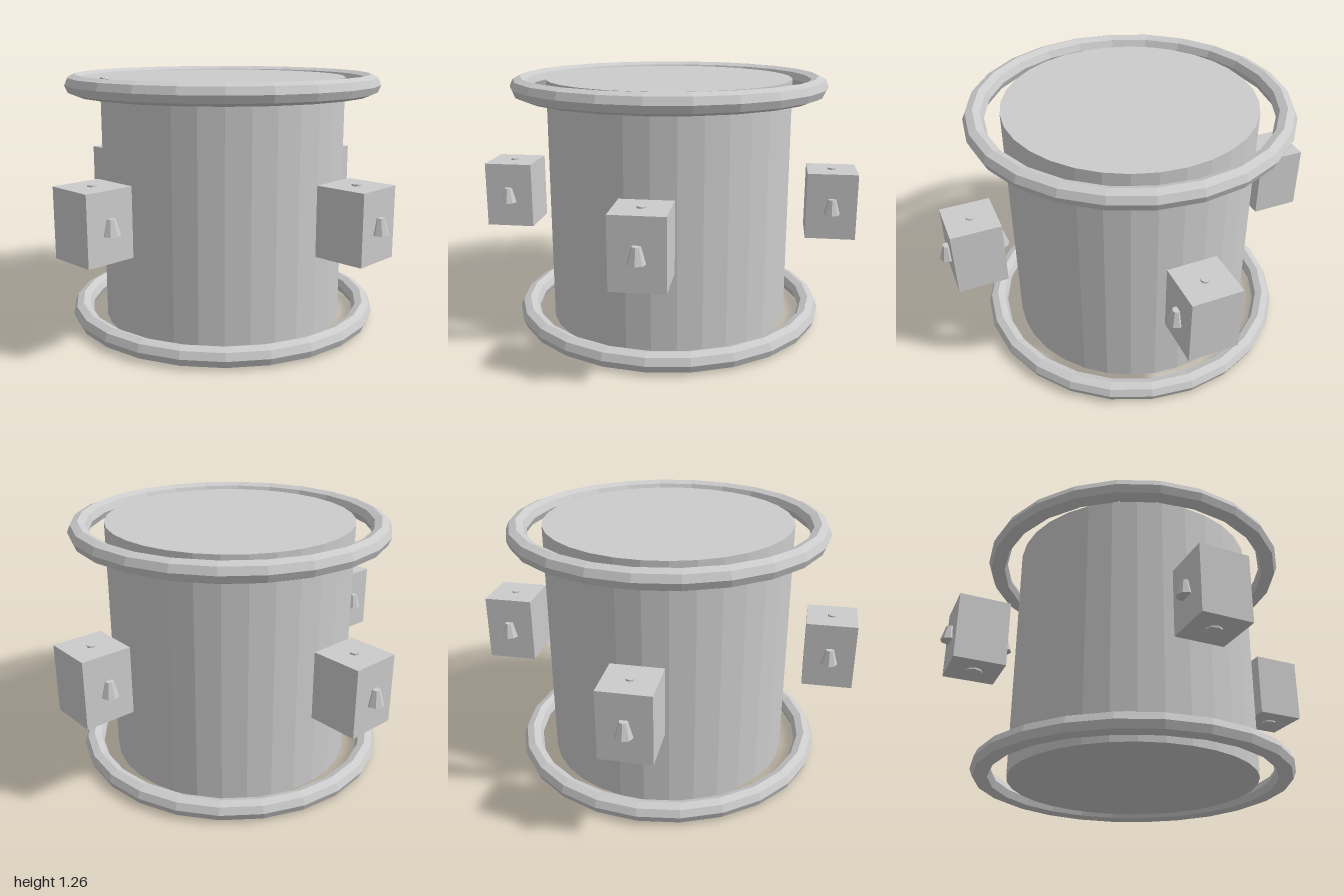
import * as THREE from 'three';

const material = new THREE.MeshStandardMaterial({ color: 0xcccccc, flatShading: true });

function add(parent, name, geometry, x = 0, y = 0, z = 0) {
  const mesh = new THREE.Mesh(geometry, material);
  mesh.name = name;
  mesh.position.set(x, y, z);
  parent.add(mesh);
  return mesh;
}

export function createModel() {
  const model = new THREE.Group();
  model.name = 'drumStation';
  const midY = 0.63;

  // Main drum
  add(model, 'drum', new THREE.CylinderGeometry(0.615, 0.615, 1.23, 32), 0, midY, 0);

  // Floating rings around the two ends
  const ringGeometry = new THREE.TorusGeometry(0.74, 0.05, 8, 24).rotateX(Math.PI / 2);
  add(model, 'lowerRing', ringGeometry, 0, 0.05, 0);
  add(model, 'upperRing', ringGeometry, 0, 1.21, 0);

  // Four identical pods, all facing the same way
  const boxGeometry = new THREE.BoxGeometry(0.246, 0.33, 0.246);
  const nozzleGeometry = new THREE.CylinderGeometry(0.02, 0.041, 0.075, 8);
  const coreGeometry = new THREE.CylinderGeometry(0.021, 0.04, 0.346, 8);
  const reach = 0.828;
  for (const [side, x, z] of [['left', 1, 0], ['right', -1, 0], ['front', 0, 1], ['back', 0, -1]]) {
    const pod = new THREE.Group();
    pod.name = side + 'Pod';
    pod.position.set(x * reach, midY, z * reach);
    add(pod, 'podBox', boxGeometry);
    // Tapered core poking out of the top and bottom
    add(pod, 'podCore', coreGeometry);
    // Small tapered nozzles half sunk into the two sides
    for (const s of [-1, 1]) add(pod, 'nozzle', nozzleGeometry, s * 0.131, 0.003, 0);
    model.add(pod);
  }
  return model;
}
